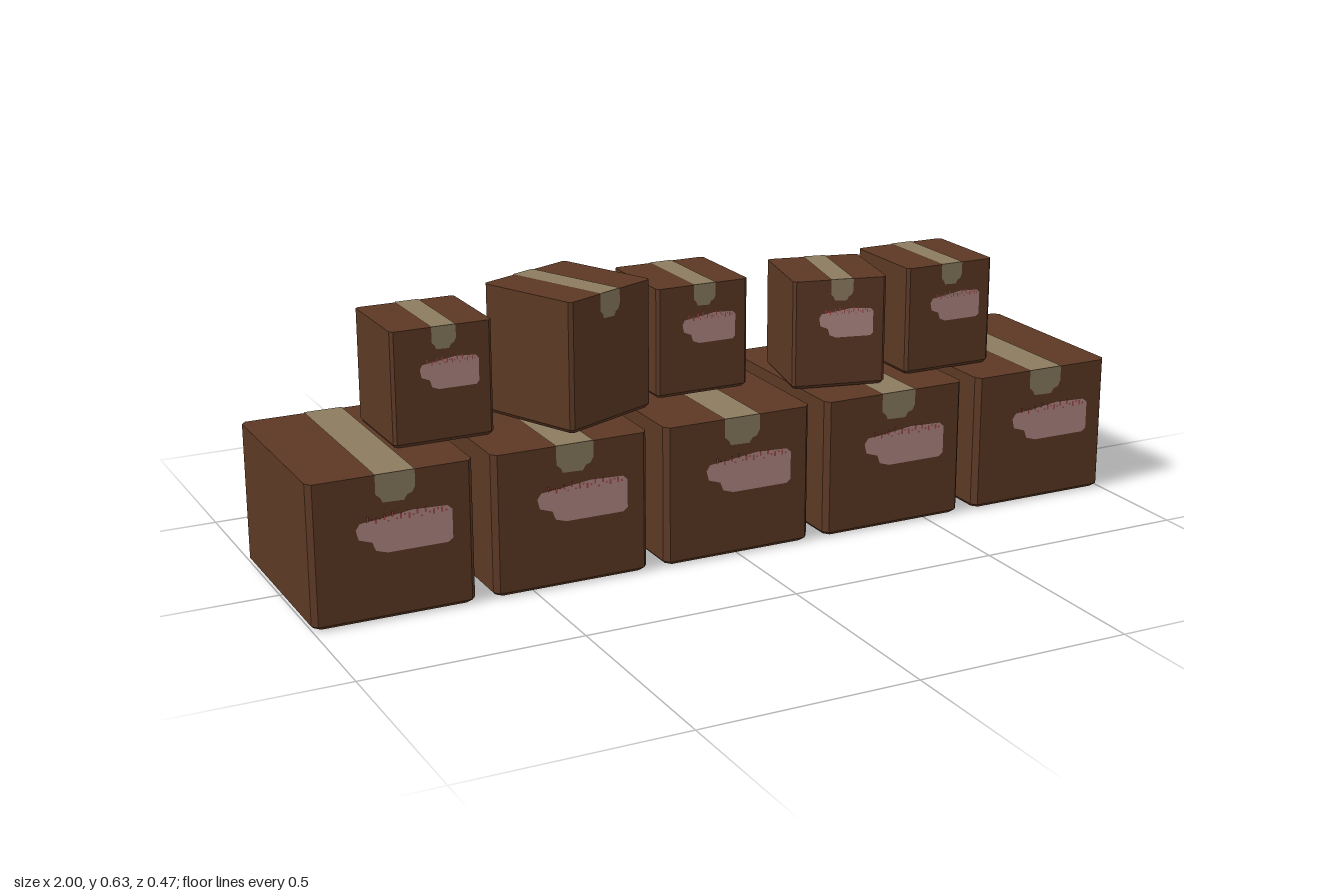
import * as THREE from 'three';

const mat = (name, color) => {
  const m = new THREE.MeshStandardMaterial({ color });
  m.name = name;
  return m;
};

const polygon = (pts) => new THREE.Shape(pts.map(([x, y]) => new THREE.Vector2(x, y)));

// Unit carton: octagonal rings give chamfered uprights and a chamfered base.
function cartonGeometry() {
  const ring = (y, half, c) => {
    const i = half - c;
    return [[i, half], [half, i], [half, -i], [i, -half], [-i, -half], [-half, -i], [-half, i], [-i, half]]
      .map(([x, z]) => [x, y, z]);
  };
  const rings = [ring(0, 0.475, 0.03), ring(0.03, 0.5, 0.03), ring(1, 0.5, 0.03)];
  const pos = [];
  const tri = (a, b, c) => pos.push(...a, ...b, ...c);
  for (let r = 0; r < 2; r++) {
    for (let k = 0; k < 8; k++) {
      const n = (k + 1) % 8;
      const a = rings[r][k], b = rings[r][n], c = rings[r + 1][n], d = rings[r + 1][k];
      tri(a, b, c);
      tri(a, c, d);
    }
  }
  for (let k = 1; k < 7; k++) {
    tri(rings[2][0], rings[2][k], rings[2][k + 1]);
    tri(rings[0][0], rings[0][k + 1], rings[0][k]);
  }
  const g = new THREE.BufferGeometry();
  g.setAttribute('position', new THREE.Float32BufferAttribute(pos, 3));
  g.computeVertexNormals();
  return g;
}

export function createModel() {
  const cardboard = mat('brown cardboard', 0x5c3824);
  const tape = mat('beige tape', 0x8b7b60);
  const paper = mat('pink label paper', 0xb08884);
  const red = mat('red label marks', 0xa04a48);

  const carton = cartonGeometry();

  // Tape over the lid, and its torn end hanging down a side
  const strip = new THREE.PlaneGeometry(0.24, 1.008).rotateX(-Math.PI / 2);
  const tapeEnd = new THREE.ShapeGeometry(polygon([
    [-0.12, 1.004], [-0.12, 0.87], [-0.09, 0.84], [-0.08, 0.81], [0.05, 0.805],
    [0.07, 0.84], [0.1, 0.85], [0.12, 0.89], [0.12, 1.004],
  ]));

  // Label with worn corners and a row of marks along its top edge
  const label = new THREE.ShapeGeometry(polygon([
    [-0.21, 0.58], [-0.13, 0.55], [-0.11, 0.49], [-0.04, 0.465], [0.33, 0.465], [0.36, 0.49],
    [0.36, 0.69], [0.33, 0.72], [0.12, 0.73], [-0.1, 0.7], [-0.2, 0.69], [-0.225, 0.65],
  ]));
  const ticks = [];
  for (let i = 0; i < 20; i++) {
    const x = -0.16 + i * 0.025;
    const y = 0.69 + 0.015 * Math.sin(i * 2.3);
    const h = 0.025 + 0.015 * Math.cos(i * 3.1);
    ticks.push(polygon([[x, y], [x + 0.012, y], [x + 0.012, y + h], [x, y + h]]));
  }
  const marks = new THREE.ShapeGeometry(ticks);

  function makeBox(name, x, y, z, w, h, d, degrees) {
    const box = new THREE.Group();
    box.name = name;
    const add = (part, geometry, material, px = 0, py = 0, pz = 0, turn = 0) => {
      const m = new THREE.Mesh(geometry, material);
      m.name = part;
      m.position.set(px, py, pz);
      m.rotation.y = turn;
      box.add(m);
    };
    add('carton', carton, cardboard);
    add('lidTape', strip, tape, 0.02, 1.005);
    add('frontTapeEnd', tapeEnd, tape, 0.02, 0, 0.504);
    add('backTapeEnd', tapeEnd, tape, 0.02, 0, -0.504, Math.PI);
    add('label', label, paper, 0, 0, 0.504);
    add('labelMarks', marks, red, 0, 0, 0.508);
    box.scale.set(w, h, d);
    box.position.set(x, y, z);
    box.rotation.y = THREE.MathUtils.degToRad(degrees);
    return box;
  }

  const model = new THREE.Group();
  model.name = 'stackedBoxes';

  // Lower row
  for (let i = 0; i < 5; i++) {
    model.add(makeBox('lowerBox' + (i + 1), (i - 2) * 0.4085, 0, 0, 0.366, 0.325, 0.466, 0));
  }

  // Upper row: x, y, z, width, height, depth, turn
  [
    [-0.645, 0.325, -0.015, 0.23, 0.259, 0.224, 0],
    [-0.325, 0.335, 0.036, 0.262, 0.295, 0.258, 203.6],
    [0, 0.333, -0.058, 0.23, 0.256, 0.226, 0],
    [0.332, 0.328, 0.036, 0.222, 0.256, 0.222, -12.8],
    [0.613, 0.327, 0.018, 0.232, 0.256, 0.225, 0],
  ].forEach((b, i) => model.add(makeBox('upperBox' + (i + 1), ...b)));

  return model;
}
